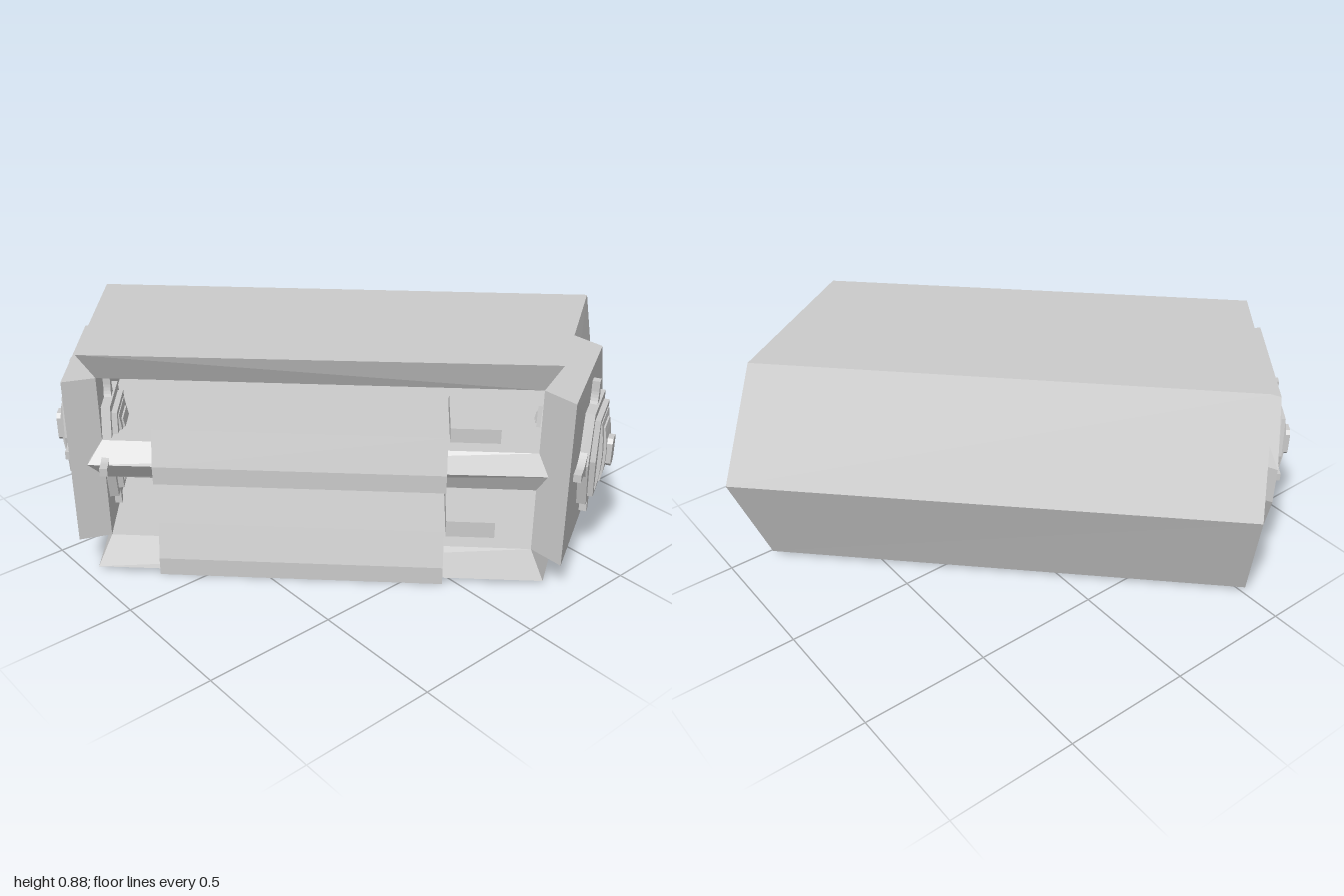
import * as THREE from 'three';

const mat = new THREE.MeshStandardMaterial({ color: 0xcccccc, flatShading: true, side: THREE.DoubleSide });

function mesh(name, geometry) {
  const m = new THREE.Mesh(geometry, mat);
  m.name = name;
  return m;
}

// Collects triangles, leaving out collapsed ones
function surface(name, build) {
  const pos = [];
  const tri = (a, b, c) => {
    const [A, B, C] = [a, b, c].map((p) => new THREE.Vector3(...p));
    if (B.clone().sub(A).cross(C.clone().sub(A)).length() > 1e-6) pos.push(...a, ...b, ...c);
  };
  const skin = (p, q, closed = false) => {
    const n = p.length;
    for (let i = 0; i < (closed ? n : n - 1); i++) {
      const j = (i + 1) % n;
      tri(p[i], p[j], q[j]);
      tri(p[i], q[j], q[i]);
    }
  };
  const fan = (p) => {
    for (let i = 1; i < p.length - 1; i++) tri(p[0], p[i], p[i + 1]);
  };
  build({ tri, skin, fan });
  const g = new THREE.BufferGeometry();
  g.setAttribute('position', new THREE.Float32BufferAttribute(pos, 3));
  g.computeVertexNormals();
  return mesh(name, g);
}

// Six-cornered bulkhead outline from its plan positions [x, z]
const HEIGHTS = [0.775, 0.775, 0.53, 0.38, 0.13, 0.13];
const bulkheadRing = (a, b, c) => [a, b, c, c, b, a].map(([x, z], i) => [x, HEIGHTS[i], z]);

const front = {
  shell: [[0.24, 0.885, 0.853], [0.81, 0.885, 0.485], [0.997, 0.455, 0.415], [0.997, 0.455, 0.415], [0.83, 0.02, 0.47], [0.23, 0.02, 0.853]],
  outer: bulkheadRing([0.225, 0.93], [0.675, 0.68], [0.79, 0.62]),
  inner: bulkheadRing([0.225, 0.79], [0.675, 0.53], [0.79, 0.49]),
  edge: [0.24, 0.455, 0.853],
  apex: [0.79, 0.455, 0.545],
};
const rear = {
  shell: [[-0.96, 0.885, -0.285], [-0.53, 0.885, -0.81], [-0.41, 0.455, -0.945], [-0.41, 0.455, -0.945], [-0.51, 0.02, -0.833], [-0.96, 0.02, -0.285]],
  outer: bulkheadRing([-1, -0.337], [-0.68, -0.733], [-0.61, -0.82]),
  inner: bulkheadRing([-0.89, -0.29], [-0.63, -0.626], [-0.565, -0.71]),
  edge: [-0.96, 0.455, -0.285],
  apex: [-0.6, 0.455, -0.77],
};

function polygon(points) {
  return new THREE.Shape(points.map(([x, y]) => new THREE.Vector2(x, y)));
}
const extrude = (shape, depth) =>
  new THREE.ExtrudeGeometry(shape, { depth, bevelEnabled: false, curveSegments: 8 });

// Panel with a face that bows outward over its height
function bowedPanel(name, width, height, base, edge, bow) {
  const s = new THREE.Shape();
  s.moveTo(-base, -height / 2);
  s.lineTo(-edge, -height / 2);
  s.quadraticCurveTo(-edge - 2 * bow, 0, -edge, height / 2);
  s.lineTo(-base, height / 2);
  s.closePath();
  return mesh(name, extrude(s, width).rotateY(Math.PI / 2).translate(-width / 2, 0, 0));
}

// Hatch facing +z
function makeHatch(name) {
  const hatch = new THREE.Group();
  hatch.name = name;
  const hex = (x, xt, y) => polygon([[-x, 0], [-xt, -y], [xt, -y], [x, 0], [xt, y], [-xt, y]]);
  hatch.add(mesh('hatchPlate', extrude(hex(0.16, 0.108, 0.185), 0.035)));
  const raised = mesh('hatchStep', extrude(hex(0.12, 0.095, 0.155), 0.02));
  raised.position.z = 0.035;
  hatch.add(raised);
  hatch.add(bowedPanel('hatchDoor', 0.155, 0.27, 0.03, 0.058, 0.012));
  hatch.add(bowedPanel('hatchDoorInset', 0.105, 0.22, 0.05, 0.068, 0.012));
  const knob = polygon([[-0.035, -0.04], [-0.02, -0.055], [0.02, -0.055], [0.035, -0.04], [0.035, 0.04], [0.02, 0.055], [-0.02, 0.055], [-0.035, 0.04]]);
  const handle = mesh('hatchHandle', extrude(knob, 0.03));
  handle.position.z = 0.068;
  hatch.add(handle);
  // Flared latches on four sides
  [[0, 0.27], [1, 0.255], [2, 0.27], [3, 0.255]].forEach(([k, reach]) => {
    const s = new THREE.Shape();
    s.moveTo(-0.06, 0.13);
    s.quadraticCurveTo(-0.018, 0.185, -0.015, reach - 0.04);
    s.lineTo(-0.015, reach);
    s.lineTo(0.015, reach);
    s.lineTo(0.015, reach - 0.04);
    s.quadraticCurveTo(0.018, 0.185, 0.06, 0.13);
    const latch = mesh('hatchLatch', extrude(s, 0.028));
    latch.rotation.z = (k * Math.PI) / 2;
    hatch.add(latch);
  });
  return hatch;
}

export function createModel() {
  const model = new THREE.Group();
  model.name = 'bunkModule';

  // Hull with an open side: outer skin, lining and bevelled open edges
  model.add(surface('hullOuter', ({ skin }) => skin(rear.shell, front.shell)));
  model.add(surface('hullLining', ({ skin }) => skin(rear.inner, front.inner)));
  model.add(surface('hullOpenEdges', ({ skin }) => {
    for (const i of [0, 5]) skin([rear.shell[i], rear.inner[i]], [front.shell[i], front.inner[i]]);
  }));

  // Bevelled rims, bulkheads and corner spikes at both ends
  for (const [side, end] of [['front', front], ['rear', rear]]) {
    model.add(surface(side + 'Rim', ({ skin }) => skin(end.shell, end.inner)));
    model.add(surface(side + 'Bulkhead', ({ skin, fan }) => {
      skin(end.inner, end.outer, true);
      fan(end.outer);
      fan(end.inner);
    }));
    model.add(surface(side + 'CornerSpike', ({ tri }) => {
      const [tip, a, b] = [end.shell[2], end.inner[2], end.inner[3]];
      tri(end.apex, tip, a);
      tri(end.apex, b, tip);
      tri(end.apex, a, b);
      tri(a, tip, b);
    }));
  }

  // Hatches outside and inside each bulkhead
  const hatches = [
    ['frontHatch', 0.51, 0.775, 0.485, 0.875],
    ['frontInnerHatch', 0.49, 0.645, -0.485, -0.875],
    ['rearHatch', -0.805, -0.578, -0.78, -0.63],
    ['rearInnerHatch', -0.8, -0.41, 0.79, 0.61],
  ];
  for (const [name, x, z, nx, nz] of hatches) {
    const hatch = makeHatch(name);
    hatch.position.set(x, 0.455, z);
    hatch.rotation.y = Math.atan2(nx, nz);
    model.add(hatch);
  }

  // Upper bunk base with a pointed outer edge
  model.add(surface('upperBunkBase', ({ skin, fan }) => {
    const section = ({ edge, inner }) => [edge, [inner[0][0], 0.53, inner[0][2]], inner[2], inner[3], [inner[0][0], 0.38, inner[0][2]]];
    skin(section(rear), section(front), true);
    fan(section(rear));
    fan(section(front));
  }));

  // Blanket and pillow of each bunk, laid along the hull
  const bunks = new THREE.Group();
  bunks.name = 'bunks';
  bunks.rotation.y = -0.767;
  for (const [side, y] of [['lower', 0], ['upper', 0.388]]) {
    const profile = [[0.468, 0], [0.468, 0.07], [0.43, 0.203], [0.02, 0.203], [0.02, 0.12], [0.4, 0.12], [0.41, 0]];
    const blanket = mesh(side + 'Blanket', extrude(polygon(profile.map(([w, h]) => [-w, h])), 1.046).rotateY(Math.PI / 2));
    blanket.position.set(-0.656, y, 0);
    const pillow = mesh(side + 'Pillow', new THREE.BoxGeometry(0.18, 0.065, 0.3));
    pillow.position.set(0.49, y + 0.165, 0.2);
    bunks.add(blanket, pillow);
  }
  model.add(bunks);

  return model;
}
